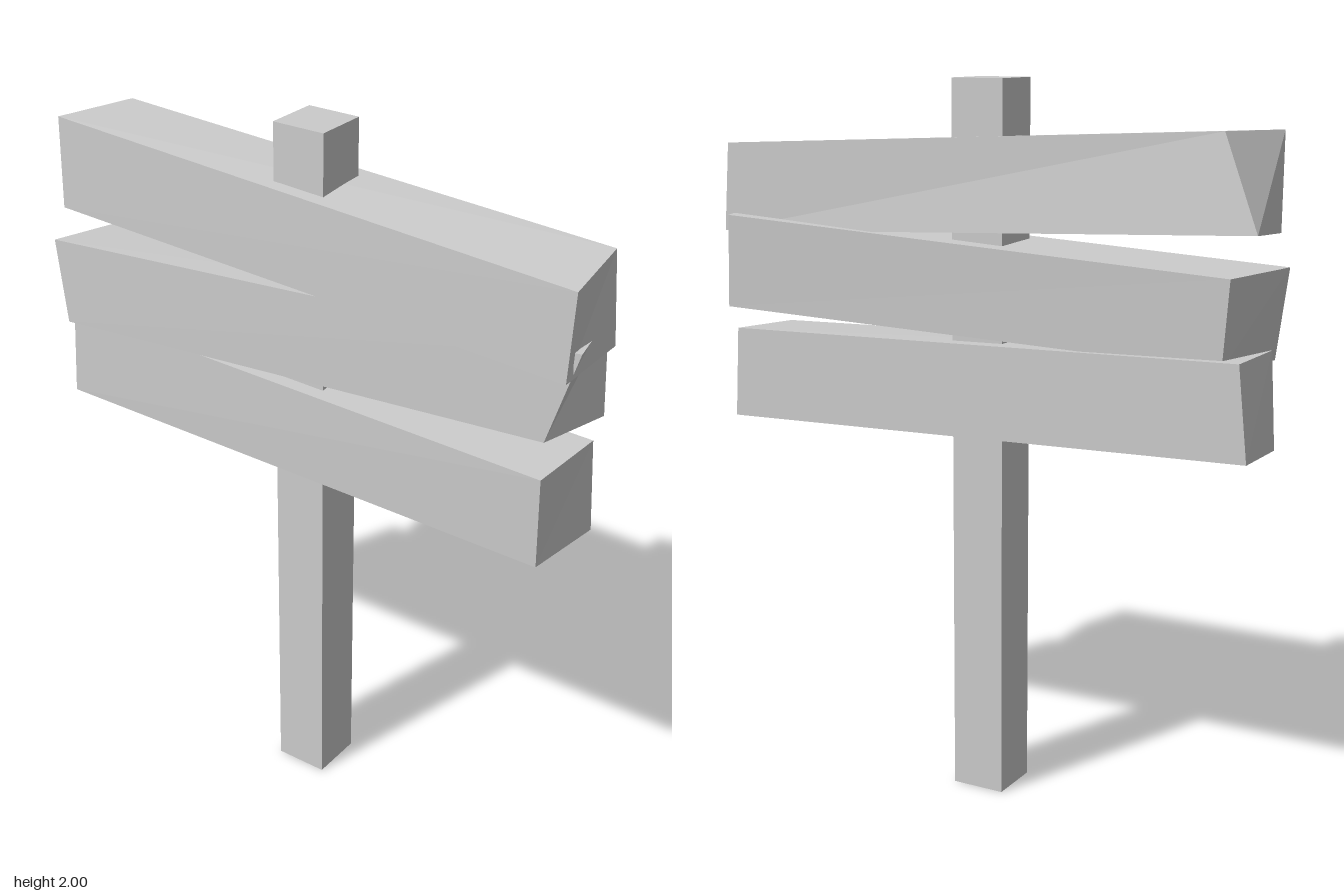
import * as THREE from 'three';

const material = new THREE.MeshStandardMaterial({ color: 0xcccccc, flatShading: true });

// Skewed box from its corners: front then back, each left-bottom, right-bottom, right-top, left-top
function skewedBox(corners) {
  const quads = [[0, 1, 2, 3], [5, 4, 7, 6], [3, 2, 6, 7], [4, 5, 1, 0], [1, 5, 6, 2], [4, 0, 3, 7]];
  const positions = [];
  for (const [a, b, c, d] of quads) {
    for (const i of [a, b, c, a, c, d]) positions.push(...corners[i]);
  }
  const geometry = new THREE.BufferGeometry();
  geometry.setAttribute('position', new THREE.Float32BufferAttribute(positions, 3));
  geometry.computeVertexNormals();
  return geometry;
}

export function createModel() {
  const group = new THREE.Group();

  // Square post, turned with the boards and open underneath
  const size = 0.154;
  const postGeometry = new THREE.BoxGeometry(size, 2, size);
  const index = Array.from(postGeometry.index.array);
  index.splice(18, 6); // bottom face
  postGeometry.setIndex(index);
  const postMaterial = material.clone();
  postMaterial.side = THREE.DoubleSide;
  const post = new THREE.Mesh(postGeometry, postMaterial);
  post.name = 'post';
  post.position.y = 1;
  post.rotation.y = 0.33;
  group.add(post);

  // Three crooked boards with unevenly cut ends
  const boards = {
    topBoard: [
      [-0.705, 1.62, 0.36], [0.805, 1.55, -0.145], [0.815, 1.79, -0.15], [-0.71, 1.88, 0.355],
      [-0.82, 1.64, 0.13], [0.735, 1.56, -0.37], [0.715, 1.81, -0.365], [-0.715, 1.885, 0.12],
    ],
    middleBoard: [
      [-0.68, 1.285, 0.385], [0.735, 1.36, -0.155], [0.81, 1.62, -0.185], [-0.71, 1.53, 0.395],
      [-0.71, 1.295, 0.14], [0.7, 1.345, -0.39], [0.68, 1.61, -0.395], [-0.73, 1.525, 0.14],
    ],
    bottomBoard: [
      [-0.705, 1.05, 0.365], [0.755, 1.015, -0.14], [0.755, 1.27, -0.135], [-0.69, 1.315, 0.36],
      [-0.8, 1.065, 0.14], [0.71, 1.02, -0.37], [0.695, 1.28, -0.365], [-0.775, 1.32, 0.13],
    ],
  };
  for (const [name, corners] of Object.entries(boards)) {
    const board = new THREE.Mesh(skewedBox(corners), material);
    board.name = name;
    group.add(board);
  }

  return group;
}
